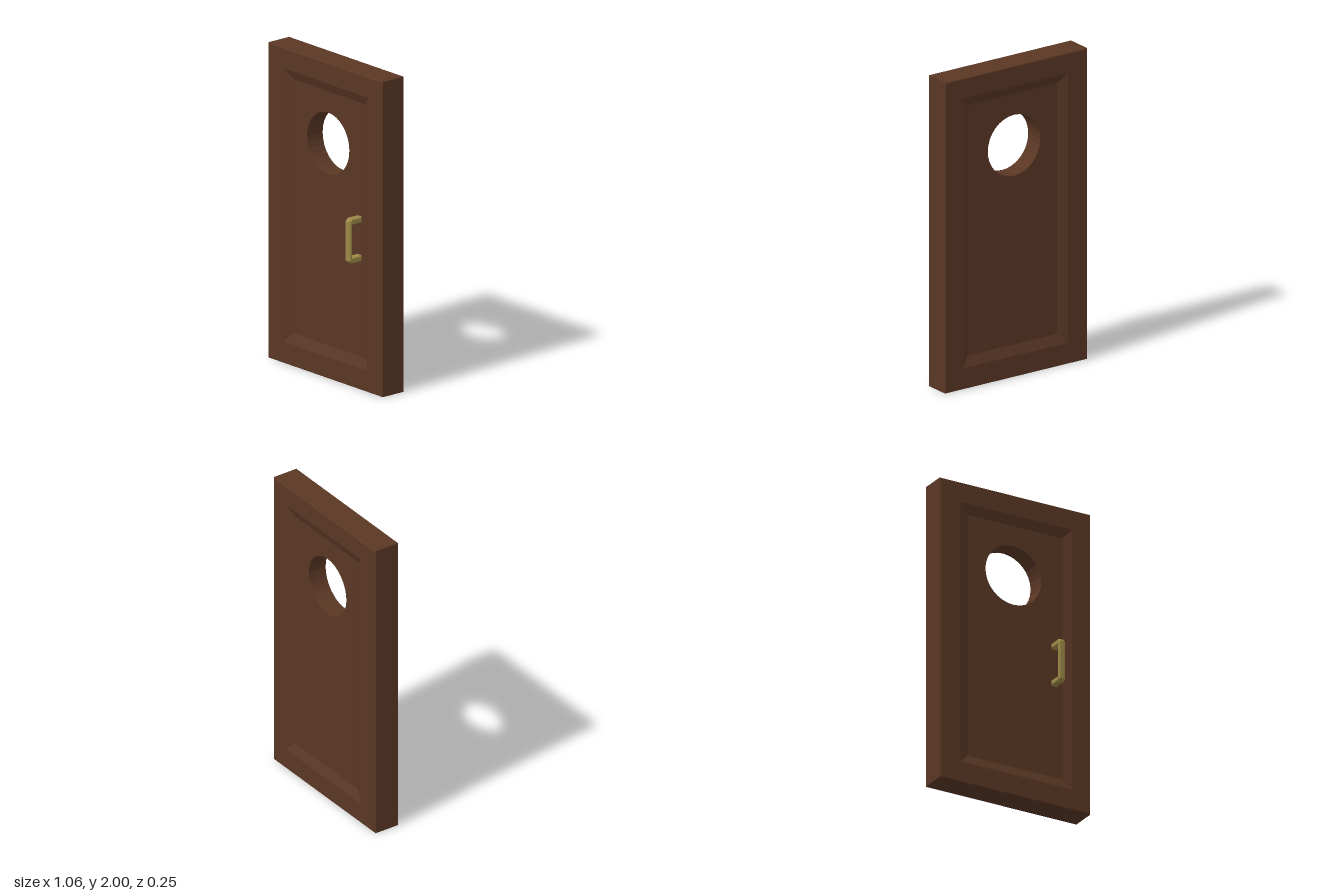
import * as THREE from 'three';

const FRONT = 0.05, BACK = -0.125, RECESS = 0.025;

// Rectangular loop, counter-clockwise from the front
const loop = (x0, x1, y0, y1, z) => [[x0, y0, z], [x1, y0, z], [x1, y1, z], [x0, y1, z]];

// Skin successive loops with flat faces
function skin(loops) {
  const pos = [];
  for (let i = 0; i < loops.length - 1; i++) {
    const a = loops[i], b = loops[i + 1];
    for (let j = 0; j < 4; j++) {
      const k = (j + 1) % 4;
      pos.push(...a[j], ...b[j], ...b[k], ...a[j], ...b[k], ...a[k]);
    }
  }
  const g = new THREE.BufferGeometry();
  g.setAttribute('position', new THREE.Float32BufferAttribute(pos, 3));
  g.computeVertexNormals();
  return g;
}

export function createModel() {
  const wood = new THREE.MeshStandardMaterial({ color: 0x5a3724 });
  wood.name = 'brown wood';
  const brass = new THREE.MeshStandardMaterial({ color: 0x9d8a47 });
  brass.name = 'brass';

  const door = new THREE.Group();
  door.name = 'door';
  const add = (name, geometry, material) => {
    const mesh = new THREE.Mesh(geometry, material);
    mesh.name = name;
    door.add(mesh);
  };

  // Frame: sloped inner moulding, flat face and a fine chamfer, on both sides
  const c = 0.005;
  const panelEdge = (z) => loop(-0.32, 0.345, 0.2, 1.81, z);
  const faceEdge = (z) => loop(-0.385, 0.4, 0.135, 1.87, z);
  const outer = (z, i = 0) => loop(-0.53 + i, 0.53 - i, i, 2 - i, z);
  add('frame', skin([
    panelEdge(FRONT - RECESS), faceEdge(FRONT), outer(FRONT, c), outer(FRONT - c),
    outer(BACK + c), outer(BACK, c), faceEdge(BACK), panelEdge(BACK + RECESS),
  ]), wood);

  // Recessed panel with a round porthole
  const panel = new THREE.Shape([[-0.32, 0.2], [0.345, 0.2], [0.345, 1.81], [-0.32, 1.81]]
    .map(([x, y]) => new THREE.Vector2(x, y)));
  panel.holes.push(new THREE.Path().absarc(0, 1.48, 0.196, 0, Math.PI * 2, true));
  const panelGeometry = new THREE.ExtrudeGeometry(panel, {
    depth: FRONT - BACK - 2 * RECESS, bevelEnabled: false, curveSegments: 16,
  });
  panelGeometry.translate(0, 0, BACK + RECESS);
  add('panel', panelGeometry, wood);

  // Pull handle: side outline (z, y) extruded across x
  const outline = new THREE.Shape([
    [0.02, 0.805], [0.105, 0.805], [0.122, 0.822], [0.122, 1.073], [0.105, 1.09], [0.02, 1.09],
    [0.02, 1.05], [0.098, 1.05], [0.098, 0.845], [0.02, 0.845],
  ].map(([z, y]) => new THREE.Vector2(z, y)));
  const bevel = 0.008;
  const handle = new THREE.ExtrudeGeometry(outline, {
    depth: 0.046 - 2 * bevel, bevelEnabled: true, bevelSize: bevel, bevelOffset: -bevel,
    bevelThickness: bevel, bevelSegments: 1,
  });
  handle.rotateY(-Math.PI / 2);
  handle.translate(0.312 - bevel, 0, 0);
  add('handle', handle, brass);

  return door;
}
